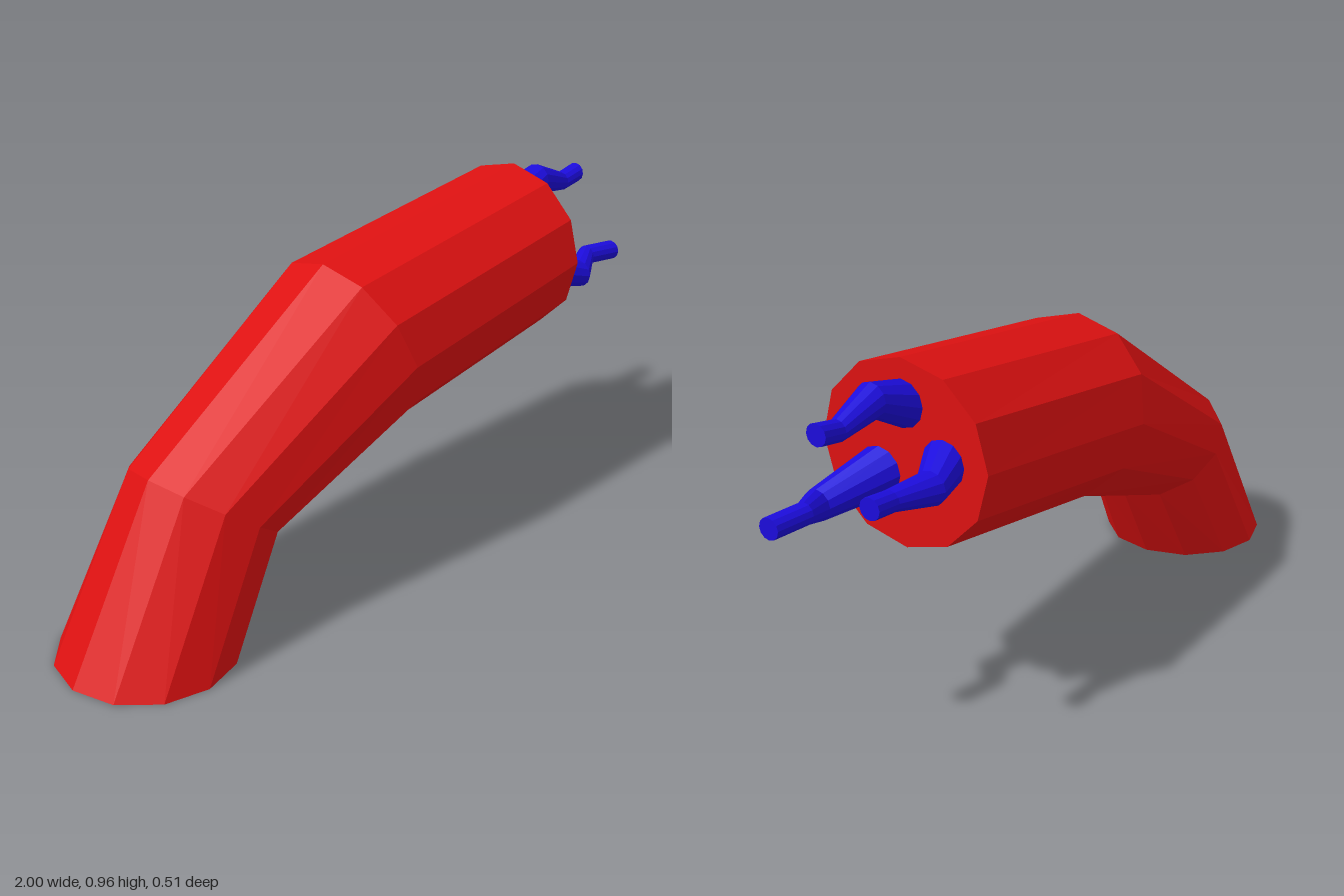
import * as THREE from 'three';

// Skins a list of rings {c: centre, up: in-plane radius vector, rz: radius along z}; caps the last ring.
function loft(rings, sides) {
  const pos = [], index = [];
  for (const { c, up, rz } of rings) {
    for (let i = 0; i < sides; i++) {
      const a = (i / sides) * Math.PI * 2;
      pos.push(c[0] + up[0] * Math.cos(a), c[1] + up[1] * Math.cos(a), c[2] + rz * Math.sin(a));
    }
  }
  for (let r = 0; r < rings.length - 1; r++) {
    for (let i = 0; i < sides; i++) {
      const j = (i + 1) % sides;
      const a = r * sides + i, b = r * sides + j;
      index.push(a, b, a + sides, b, b + sides, a + sides);
    }
  }
  const last = (rings.length - 1) * sides, centre = pos.length / 3;
  pos.push(...rings[rings.length - 1].c);
  for (let i = 0; i < sides; i++) index.push(centre, last + i, last + ((i + 1) % sides));

  const geo = new THREE.BufferGeometry();
  geo.setAttribute('position', new THREE.Float32BufferAttribute(pos, 3));
  geo.setIndex(index);
  const flat = geo.toNonIndexed();
  flat.computeVertexNormals();
  return flat;
}

function material(color) {
  return new THREE.MeshStandardMaterial({ color, flatShading: true, side: THREE.DoubleSide });
}

export function createModel() {
  const group = new THREE.Group();
  const red = material(0xdd1111);
  const blue = material(0x1c0cdc);

  // Bent arm, open at the base and closed at the raised end.
  // Each row: outer point x, y, inner point x, y, half width in z
  const armRows = [
    [-1.0, 0, -0.53, 0, 0.237],
    [-0.73, 0.475, -0.39, 0.238, 0.21],
    [-0.125, 0.867, 0.045, 0.39, 0.255],
    [0.65, 0.963, 0.65, 0.482, 0.242],
  ];
  const armRings = armRows.map(([ox, oy, ix, iy, rz]) => ({
    c: [(ox + ix) / 2, (oy + iy) / 2, 0],
    up: [(ox - ix) / 2, (oy - iy) / 2],
    rz,
  }));
  const arm = new THREE.Mesh(loft(armRings, 12), red);
  arm.name = 'arm';
  group.add(arm);

  // Three kinked, tapering cables on the end face; each row: x, y, z, radius
  const cables = {
    upperCable: [
      [0.65, 0.85, 0, 0.061],
      [0.76, 0.892, 0, 0.044],
      [0.88, 0.858, 0, 0.027],
      [0.95, 0.87, 0, 0.028],
    ],
    leftCable: [
      [0.65, 0.665, 0.075, 0.063],
      [0.81, 0.62, 0.135, 0.04],
      [0.9, 0.643, 0.093, 0.028],
      [1.0, 0.638, 0.112, 0.028],
    ],
    rightCable: [
      [0.65, 0.724, -0.115, 0.06],
      [0.74, 0.703, -0.146, 0.043],
      [0.86, 0.711, -0.125, 0.027],
      [0.93, 0.717, -0.123, 0.028],
    ],
  };
  for (const [name, rows] of Object.entries(cables)) {
    const rings = rows.map(([x, y, z, r]) => ({ c: [x, y, z], up: [0, r], rz: r }));
    const cable = new THREE.Mesh(loft(rings, 12), blue);
    cable.name = name;
    group.add(cable);
  }
  return group;
}
